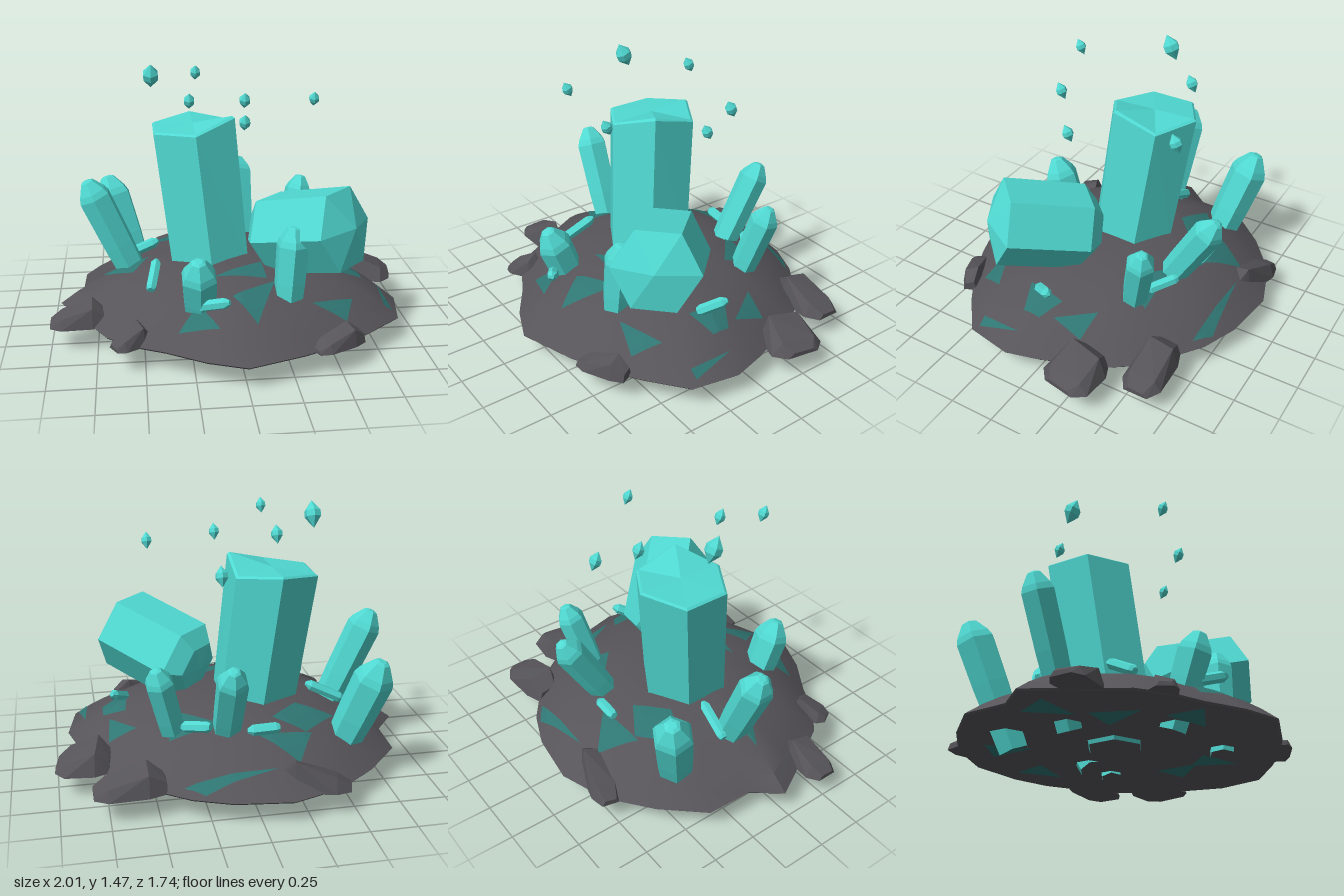
import * as THREE from 'three';
import { toCreasedNormals } from 'three/addons/utils/BufferGeometryUtils.js';
import { ConvexGeometry } from 'three/addons/geometries/ConvexGeometry.js';

const V2 = (x, y) => new THREE.Vector2(x, y);
const V3 = (a) => new THREE.Vector3(...a);

function material(name, color) {
  const m = new THREE.MeshStandardMaterial({ color });
  m.name = name;
  return m;
}

// Faceted shading through separate face normals
function faceted(geo) {
  const g = geo.index ? geo.toNonIndexed() : geo;
  g.computeVertexNormals();
  return g;
}

// Rim of the mound as [x, z], anticlockwise from above
const RIM = [
  [0, 0.87], [0.3, 0.77], [0.5, 0.68], [0.68, 0.56], [0.88, 0.4], [0.93, 0.14], [0.88, -0.05],
  [0.82, -0.2], [0.75, -0.38], [0.65, -0.52], [0.5, -0.64], [0.35, -0.75], [0.15, -0.83],
  [-0.15, -0.87], [-0.42, -0.78], [-0.64, -0.61], [-0.83, -0.4], [-0.84, -0.15], [-0.96, 0],
  [-0.88, 0.15], [-0.79, 0.3], [-0.7, 0.46], [-0.56, 0.58], [-0.4, 0.66], [-0.2, 0.79],
];
const FLOOR = 0.12;
const slope = (t) => 0.13 + 0.29 * (1 - Math.pow(Math.min(t, 1), 2.6));

// Height of the mound at a point, from its share of the way to the rim
function groundHeight(x, z) {
  for (let i = 0; i < RIM.length; i++) {
    const [ax, az] = RIM[i], [bx, bz] = RIM[(i + 1) % RIM.length];
    const det = ax * bz - az * bx;
    const u = (x * bz - z * bx) / det, v = (ax * z - az * x) / det;
    if (u >= -1e-6 && v >= -1e-6) return slope(u + v);
  }
  return slope(0);
}

function moundGeometry() {
  const n = RIM.length, rings = 10, pos = [0, slope(0), 0], idx = [];
  for (let r = 1; r <= rings; r++)
    for (const [x, z] of RIM) pos.push(x * r / rings, slope(r / rings), z * r / rings);
  for (const [x, z] of RIM) pos.push(x * 0.99, FLOOR, z * 0.99);
  pos.push(0, FLOOR, 0);
  const last = pos.length / 3 - 1;
  for (let i = 0; i < n; i++) {
    const j = (i + 1) % n;
    idx.push(0, 1 + i, 1 + j);
    for (let r = 0; r < rings; r++) {
      const a = 1 + r * n, b = a + n;
      idx.push(a + i, b + i, b + j, a + i, b + j, a + j);
    }
    idx.push(last, 1 + rings * n + j, 1 + rings * n + i);
  }
  const g = new THREE.BufferGeometry();
  g.setAttribute('position', new THREE.Float32BufferAttribute(pos, 3));
  g.setIndex(idx);
  return toCreasedNormals(g, 0.7);
}

// Triangle of thin mineral draped over the mound, or flat on the underside
function patchGeometry(corners, below) {
  const n = 8, pos = [];
  const at = (i, j) => {
    const a = i / n, b = j / n, c = 1 - a - b;
    const x = corners[0][0] * c + corners[1][0] * a + corners[2][0] * b;
    const z = corners[0][1] * c + corners[1][1] * a + corners[2][1] * b;
    return [x, below ? FLOOR - 0.004 : groundHeight(x, z) + 0.006, z];
  };
  for (let i = 0; i < n; i++)
    for (let j = 0; j < n - i; j++) {
      pos.push(...at(i, j), ...at(i + 1, j), ...at(i, j + 1));
      if (i + j < n - 1) pos.push(...at(i + 1, j), ...at(i + 1, j + 1), ...at(i, j + 1));
    }
  // Wind every triangle to face away from the mound
  const [a, b, c] = corners;
  const up = (b[1] - a[1]) * (c[0] - a[0]) - (b[0] - a[0]) * (c[1] - a[1]) > 0;
  if (up === !!below)
    for (let k = 0; k < pos.length; k += 9)
      for (let m = 0; m < 3; m++) [pos[k + 3 + m], pos[k + 6 + m]] = [pos[k + 6 + m], pos[k + 3 + m]];
  const g = new THREE.BufferGeometry();
  g.setAttribute('position', new THREE.Float32BufferAttribute(pos, 3));
  g.computeVertexNormals();
  return g;
}

// Six-sided lathe
const hexLathe = (points) => new THREE.LatheGeometry(points.map((p) => V2(...p)), 6);

export function createModel() {
  const model = new THREE.Group();
  model.name = 'crystalOutcrop';
  const stone = material('dark stone', 0x565459);
  const crystalMat = material('turquoise crystal', 0x50d9d2);
  const vein = material('deep teal vein', 0x2f7673);

  const add = (name, geo, mat) => {
    const mesh = new THREE.Mesh(geo, mat);
    mesh.name = name;
    model.add(mesh);
    return mesh;
  };
  // Crystal running from one point to another, turned about its own axis by roll
  const crystal = (name, from, to, profile, roll = 0) => {
    const a = V3(from), dir = V3(to).sub(a), len = dir.length();
    const mesh = add(name, faceted(hexLathe(profile(len)).rotateY(roll)), crystalMat);
    mesh.position.copy(a);
    mesh.quaternion.setFromUnitVectors(V3([0, 1, 0]), dir.normalize());
  };

  add('mound', moundGeometry(), stone);

  // Teal veins on top
  [
    [[-0.22, -0.69], [-0.33, -0.5], [-0.04, -0.53]],
    [[-0.5, -0.33], [-0.3, -0.5], [-0.3, -0.26]],
    [[-0.3, -0.5], [-0.14, -0.4], [-0.3, -0.26]],
    [[0.13, -0.42], [0.34, -0.24], [0.42, -0.42]],
    [[0.57, -0.22], [0.72, -0.2], [0.7, -0.02]],
    [[-0.04, 0.5], [0.2, 0.38], [0.07, 0.67]],
    [[-0.12, 0.33], [0.15, 0.2], [0.16, 0.36]],
    [[-0.72, 0], [-0.55, 0.1], [-0.45, -0.03]],
    [[0.83, 0.12], [0.86, 0.36], [0.81, 0.36]],
    [[-0.1, -0.72], [0.28, -0.76], [0.38, -0.69]],
    [[-0.33, 0.61], [-0.22, 0.5], [-0.12, 0.67]],
    [[0.38, 0.5], [0.62, 0.4], [0.56, 0.55]],
    [[0.58, 0.2], [0.61, -0.02], [0.73, 0.05]],
    [[0.58, 0.2], [0.73, 0.05], [0.73, 0.15]],
  ].forEach((p) => add('topVein', patchGeometry(p, false), vein));

  // Teal veins underneath
  [[0.1, -0.6, 0.3], [-0.32, -0.53, 1.2], [0.46, 0.1, 2], [0.42, 0.32, 0.8],
    [-0.25, 0.53, 0], [-0.47, 0.23, 1.6], [-0.7, 0, 0.5]].forEach(([x, z, turn]) => {
    const corners = [0, 2.3, 3.9].map((a) => [x + 0.14 * Math.cos(a + turn), z + 0.14 * Math.sin(a + turn)]);
    add('undersideVein', patchGeometry(corners, true), vein);
  });

  // Main column: sheared hexagonal prism with an uneven cut top
  const height = 1.02, cut = [-0.01, 0.06, -0.01, 0.01, -0.02, -0.02];
  const column = hexLathe([[0.15, 0], [0.245, 0.28], [0.255, height], [0.24, height + 0.01], [0, height + 0.01]]);
  const cp = column.attributes.position;
  for (let i = 0; i < cp.count; i++) {
    const ring = i % 5, y = cp.getY(i), t = y / height;
    cp.setXYZ(i, cp.getX(i) - 0.09 - 0.105 * t,
      y + 0.1 + (ring === 2 || ring === 3 ? cut[Math.floor(i / 5) % 6] : 0), cp.getZ(i) - 0.005 - 0.11 * t);
  }
  add('mainColumn', faceted(column), crystalMat);

  // Broad leaning crystal
  crystal('broadCrystal', [0.245, 0.543, 0.09], [0.565, 0.66, 0.4],
    (l) => [[0, -0.1], [0.15, -0.08], [0.235, 0], [0.237, l], [0, l + 0.07]], -Math.PI / 4);

  // Pointed crystals growing through the mound
  [
    ['leftCrystal', [-0.46, 0.09, -0.04], [-0.79, 0.83, -0.06], 0.095],
    ['backCrystal', [0.11, 0.09, -0.28], [0.12, 0.77, -0.67], 0.085],
    ['backRightCrystal', [0.33, 0.09, -0.28], [0.48, 0.71, -0.43], 0.08],
    ['backLeftCrystal', [-0.48, 0.03, -0.36], [-0.69, 0.71, -0.54], 0.11],
    ['frontCrystal', [-0.2, 0.09, 0.39], [-0.22, 0.58, 0.57], 0.1],
    ['frontRightCrystal', [0.25, 0.09, 0.45], [0.29, 0.69, 0.42], 0.09],
  ].forEach(([name, from, to, r]) => crystal(name, from, to, (l) => [
    [0.75 * r, 0], [0.95 * r, l * 0.5], [r, l - 1.1 * r], [0.86 * r, l - 0.75 * r],
    [0.4 * r, l - 0.08 * r], [0.22 * r, l], [0, l]]));

  // Small shards lying on the slope
  [
    [[-0.46, 0.33, 0.33], [-0.42, 0.43, 0.15]],
    [[-0.61, 0.34, -0.14], [-0.4, 0.44, -0.12]],
    [[-0.15, 0.38, -0.53], [0.02, 0.37, -0.52]],
    [[0.21, 0.4, -0.5], [0.35, 0.36, -0.38]],
    [[0.59, 0.33, 0.15], [0.68, 0.4, 0.02]],
    [[-0.22, 0.32, 0.54], [-0.07, 0.38, 0.64]],
  ].forEach(([from, to]) => crystal('smallShard', from, to, (l) => [
    [0, 0], [0.02, 0], [0.03, 0.02], [0.03, l - 0.03], [0.012, l], [0, l]]));

  // Floating gems, tilted toward the front
  [
    [-0.42, 1.4, -0.09, 0.075], [-0.245, 1.36, 0.385, 0.047], [-0.16, 1.365, -0.35, 0.05],
    [0.04, 1.23, 0.33, 0.05], [0.135, 1.18, -0.42, 0.056], [0.46, 1.275, 0.01, 0.047],
  ].forEach(([x, y, z, h]) => {
    const gem = add('floatingGem', faceted(hexLathe(
      [[0, -h], [h * 0.6, -h * 0.2], [h * 0.6, h * 0.25], [0, h]])), crystalMat);
    gem.position.set(x, y, z);
    gem.rotation.x = 0.45;
  });

  // Angular rocks at the rim: root, high shoulder and thin broken outer end
  const rock = (from, to, width, top) => {
    const [ax, az] = from, dx = to[0] - ax, dz = to[1] - az, len = Math.hypot(dx, dz);
    const points = [[0, 0.3, 0.5], [0.25, 0.46, 1], [0.8, 0.5, 0.5], [1, 0.3, 0.2]].flatMap(([t, w, h]) =>
      [-1, 1].flatMap((s) => [0, h].map((k) => {
        const side = s * width * w * (s > 0 ? 1 : 0.85) * (k ? 0.65 : 1);
        return V3([ax + dx * t - dz / len * side, FLOOR + 0.005 + (top - FLOOR) * k * (s > 0 ? 1 : 0.8),
          az + dz * t + dx / len * side]);
      })));
    add('rimRock', faceted(new ConvexGeometry(points)), stone);
  };
  rock([-0.7, 0.27], [-1, 0.27], 0.2, 0.25);
  rock([-0.48, 0.5], [-0.66, 0.6], 0.15, 0.24);
  rock([0.62, 0.62], [0.36, 0.74], 0.14, 0.23);
  rock([0.72, -0.3], [1, -0.25], 0.33, 0.26);
  rock([0.46, -0.6], [0.83, -0.6], 0.24, 0.26);
  rock([-0.1, -0.68], [-0.47, -0.77], 0.17, 0.28);

  return model;
}
